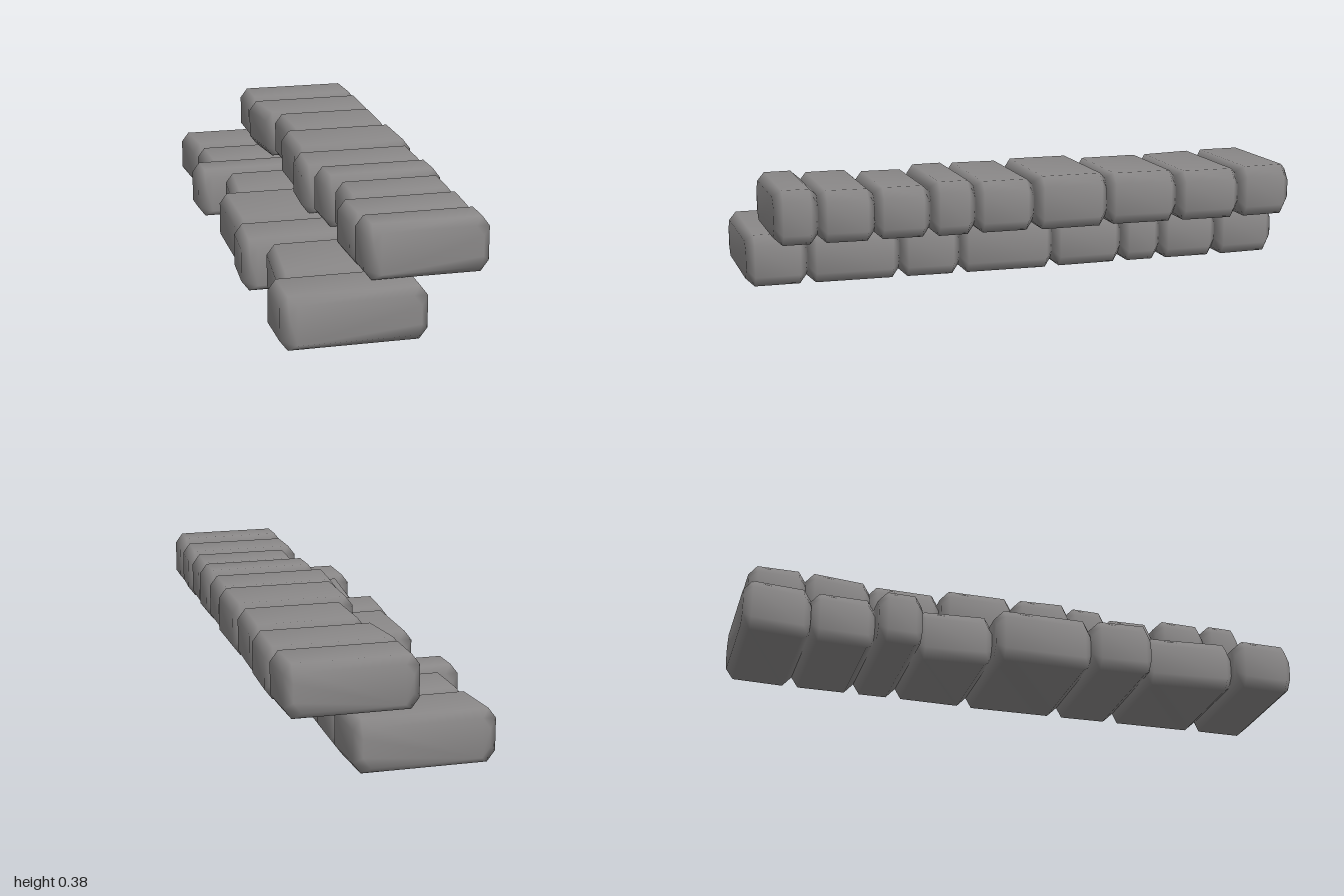
import * as THREE from 'three';

// Each stone: back z, front z, left-end x at back and front, right-end x at back and front, top y
const LOWER = [
  [-1.0, -0.765, -0.338, -0.318, 0.14, 0.15, 0.183],
  [-0.765, -0.54, -0.31, -0.303, 0.15, 0.15, 0.18],
  [-0.54, -0.385, -0.37, -0.365, 0.15, 0.15, 0.188],
  [-0.385, -0.115, -0.265, -0.28, 0.15, 0.155, 0.182],
  [-0.115, 0.235, -0.338, -0.335, 0.16, 0.155, 0.19],
  [0.235, 0.455, -0.35, -0.358, 0.155, 0.15, 0.188],
  [0.455, 0.785, -0.28, -0.303, 0.15, 0.145, 0.182],
  [0.785, 1.0, -0.347, -0.343, 0.142, 0.142, 0.183],
];
const UPPER = [
  [-0.96, -0.755, -0.092, -0.09, 0.355, 0.362, 0.37],
  [-0.755, -0.515, -0.095, -0.068, 0.368, 0.366, 0.367],
  [-0.515, -0.25, -0.04, -0.032, 0.362, 0.358, 0.372],
  [-0.25, 0.02, -0.072, -0.07, 0.366, 0.37, 0.377],
  [0.02, 0.235, -0.088, -0.095, 0.36, 0.36, 0.369],
  [0.235, 0.395, -0.06, -0.055, 0.365, 0.368, 0.377],
  [0.395, 0.59, -0.025, -0.028, 0.362, 0.36, 0.367],
  [0.59, 0.785, -0.068, -0.062, 0.368, 0.362, 0.368],
  [0.785, 0.935, -0.058, -0.055, 0.365, 0.365, 0.377],
];

// Chamfered rectangle, counterclockwise as seen from +z
function section(xl, xr, y0, y1, z, inset) {
  xl += inset; xr -= inset;
  y0 += inset * 0.9; y1 -= inset * 0.9;
  const cx = 0.027, cy = 0.036;
  return [
    [xl + cx, y0, z], [xr - cx, y0, z], [xr, y0 + cy, z], [xr, y1 - cy, z],
    [xr - cx, y1, z], [xl + cx, y1, z], [xl, y1 - cy, z], [xl, y0 + cy, z],
  ];
}

// Closed soft-edged block lofted through four sections
function stoneGeometry([z0, z1, l0, l1, r0, r1, top], base) {
  const bevel = 0.028, inset = 0.027, n = 8;
  const rings = [
    section(l0, r0, base, top, z0, inset),
    section(l0, r0, base, top, z0 + bevel, 0),
    section(l1, r1, base, top, z1 - bevel, 0),
    section(l1, r1, base, top, z1, inset),
  ];
  const index = [];
  for (let r = 0; r < 3; r++) {
    for (let i = 0; i < n; i++) {
      const a = r * n + i, b = r * n + (i + 1) % n;
      index.push(a, b, b + n, a, b + n, a + n);
    }
  }
  for (let i = 1; i < n - 1; i++) {
    index.push(0, i + 1, i, 3 * n, 3 * n + i, 3 * n + i + 1);
  }
  const geo = new THREE.BufferGeometry();
  geo.setAttribute('position', new THREE.Float32BufferAttribute(rings.flat(2), 3));
  geo.setIndex(index);
  geo.computeVertexNormals();
  return geo;
}

export function createModel() {
  const stone = new THREE.MeshStandardMaterial({ color: 0x8a8888 });
  stone.name = 'grey stone';
  const model = new THREE.Group();
  model.name = 'stoneSteps';

  // Two stacked rows of stones, the upper one set back to the side
  const addRow = (name, stones, base) => {
    const row = new THREE.Group();
    row.name = name;
    stones.forEach((s, i) => {
      const mesh = new THREE.Mesh(stoneGeometry(s, base), stone);
      mesh.name = `${name}Stone${i + 1}`;
      row.add(mesh);
    });
    model.add(row);
  };
  addRow('lowerStep', LOWER, 0);
  addRow('upperStep', UPPER, 0.188);
  return model;
}
